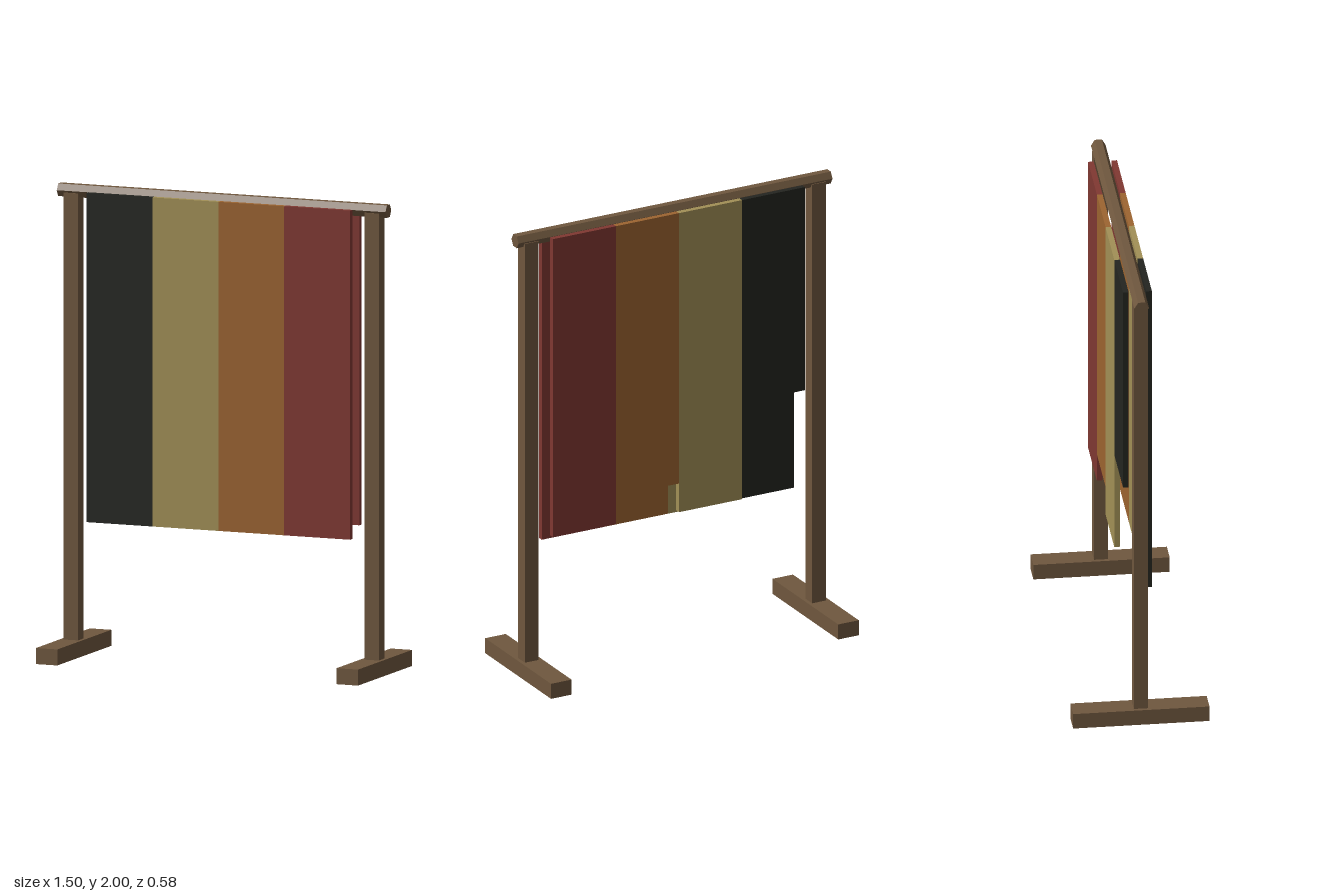
import * as THREE from 'three';

const paint = (color, side = THREE.FrontSide) =>
  new THREE.MeshStandardMaterial({ color, side, flatShading: true });

// Box given by its low and high corners
function box(name, [x0, y0, z0], [x1, y1, z1], material) {
  const geometry = new THREE.BoxGeometry(x1 - x0, y1 - y0, z1 - z0);
  geometry.translate((x0 + x1) / 2, (y0 + y1) / 2, (z0 + z1) / 2);
  const mesh = new THREE.Mesh(geometry, material);
  mesh.name = name;
  return mesh;
}

// Takes the underside off a box, leaving it hollow from below
function openBottom(mesh) {
  const index = Array.from(mesh.geometry.index.array);
  index.splice(18, 6);
  mesh.geometry.setIndex(index);
  mesh.geometry.clearGroups();
  return mesh;
}

export function createModel() {
  const model = new THREE.Group();
  model.name = 'bannerStand';
  const wood = paint(0x6f573e);
  const hollowWood = paint(0x6f573e, THREE.DoubleSide);

  // Upright posts on hollow feet
  for (const [side, s] of [['left', 1], ['right', -1]]) {
    const x = s * 0.686;
    model.add(box(side + 'Post', [x - 0.033, 0.02, -0.03], [x + 0.033, 1.965, 0.03], wood));
    model.add(openBottom(box(side + 'Foot', [x - 0.049, 0, -0.288], [x + 0.049, 0.068, 0.288], hollowWood)));
  }

  // Six-sided crossbar, flat side up
  const barGeometry = new THREE.CylinderGeometry(0.0308, 0.0308, 1.5, 6);
  barGeometry.rotateY(Math.PI / 6).rotateZ(Math.PI / 2);
  barGeometry.computeBoundingBox();
  // Bring the flat side to the top
  if (barGeometry.boundingBox.max.y > 0.029) barGeometry.rotateX(Math.PI / 6);
  const crossbar = new THREE.Mesh(barGeometry, wood);
  crossbar.name = 'crossbar';
  crossbar.position.y = 1.9733;
  model.add(crossbar);

  // Cloth strips: even hem in front, stepped hem behind
  const strips = [
    { name: 'black', color: 0x242520, backHem: 1.055 },
    { name: 'khaki', color: 0xa29056, backHem: 0.62 },
    { name: 'orange', color: 0x9c6430, backHem: 0.75 },
    { name: 'red', color: 0x803832, backHem: 0.625 },
  ];
  strips.forEach(({ name, color, backHem }, i) => {
    const x = -0.602 + i * 0.301;
    const cloth = paint(color);
    model.add(box(name + 'FrontStrip', [x, 0.578, 0.037], [x + 0.301, 1.975, 0.061], cloth));
    model.add(box(name + 'BackStrip', [x, backHem, -0.061], [x + 0.301, 1.975, -0.037], cloth));
  });

  return model;
}
